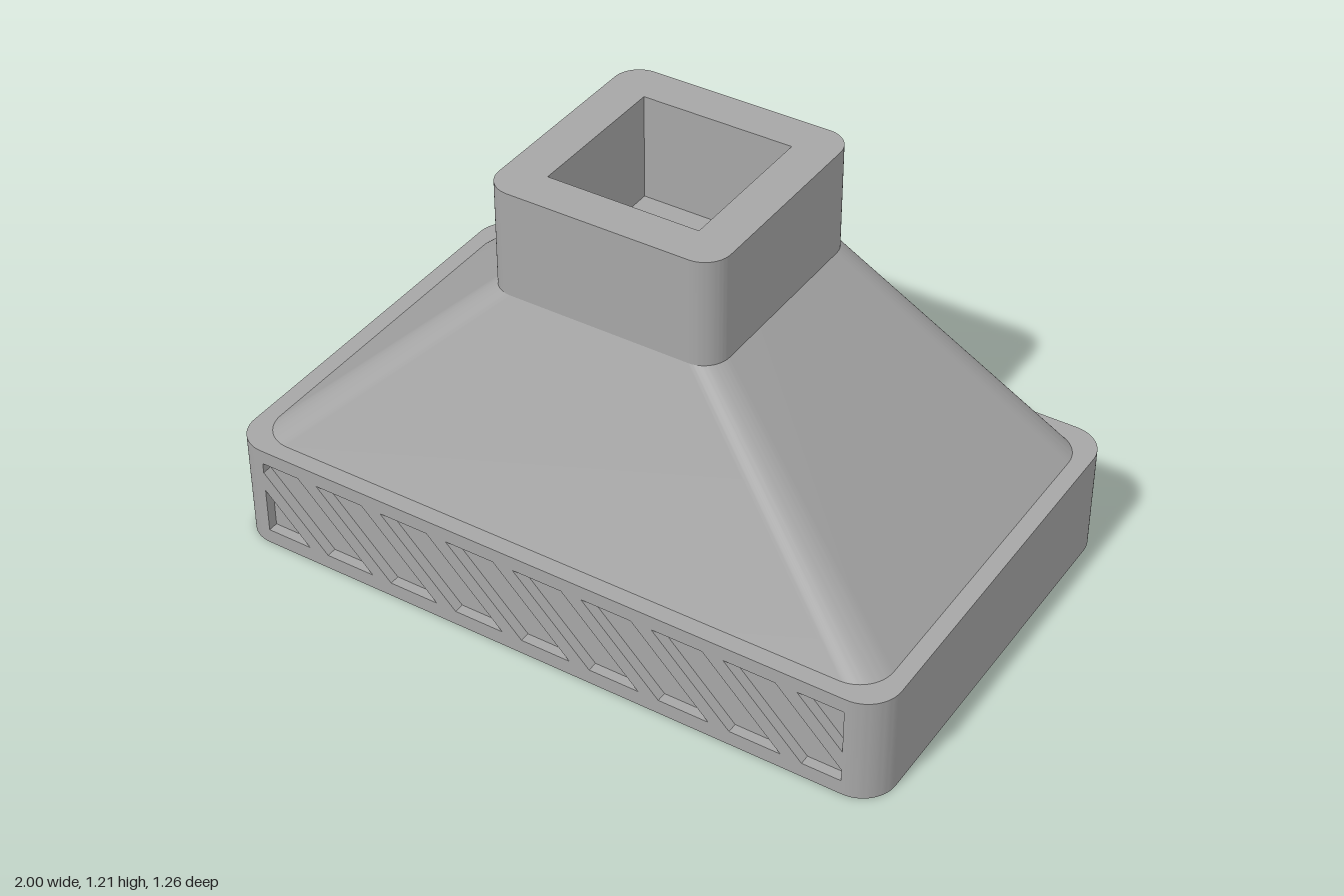
import * as THREE from 'three';
import { toCreasedNormals } from 'three/addons/utils/BufferGeometryUtils.js';

const grey = new THREE.MeshStandardMaterial({ color: 0xa6a6a6 });
grey.name = 'grey';

// Rounded rectangle outline; notch cuts a shallow strip out of the front edge
function roundedRect(hx, hz, r, notch = 0) {
  const s = new THREE.Shape();
  s.moveTo(-hx + r, -hz);
  if (notch) {
    s.lineTo(-hx + r, -hz + notch);
    s.lineTo(hx - r, -hz + notch);
  }
  s.lineTo(hx - r, -hz);
  s.absarc(hx - r, -hz + r, r, -Math.PI / 2, 0);
  s.absarc(hx - r, hz - r, r, 0, Math.PI / 2);
  s.absarc(-hx + r, hz - r, r, Math.PI / 2, Math.PI);
  s.absarc(-hx + r, -hz + r, r, Math.PI, Math.PI * 1.5);
  return s;
}

// Upright prism from a plan outline
function prism(shape, y0, y1) {
  const g = new THREE.ExtrudeGeometry(shape, { depth: y1 - y0, bevelEnabled: false, curveSegments: 10 });
  g.rotateX(-Math.PI / 2).translate(0, y0, 0);
  return toCreasedNormals(g, 0.6);
}

// Sloping skin between two outlines with equal point counts
function loft(lower, y0, upper, y1) {
  const a = lower.getPoints(10), b = upper.getPoints(10), pos = [], idx = [], n = a.length;
  a.forEach((p, i) => pos.push(p.x, y0, -p.y, b[i].x, y1, -b[i].y));
  for (let i = 0; i < n; i++) {
    const p = 2 * i, q = 2 * ((i + 1) % n);
    idx.push(p, q, q + 1, p, q + 1, p + 1);
  }
  const g = new THREE.BufferGeometry();
  g.setAttribute('position', new THREE.Float32BufferAttribute(pos, 3));
  g.setIndex(idx);
  return toCreasedNormals(g, 0.6);
}

// Keep the part of a polygon where side * x <= limit
function clip(points, side, limit) {
  const out = [];
  points.forEach((p, i) => {
    const q = points[(i + 1) % points.length];
    const dp = side * p.x - limit, dq = side * q.x - limit;
    if (dp <= 0) out.push(p);
    if (dp * dq < 0) out.push(p.clone().lerp(q, dp / (dp - dq)));
  });
  return out;
}

export function createModel() {
  const model = new THREE.Group();
  const add = (name, geometry) => {
    const m = new THREE.Mesh(geometry, grey);
    m.name = name;
    model.add(m);
  };
  const baseTop = 0.32, neckY = 0.9, topY = 1.21, depth = 0.03;

  // Base block, set back behind the grille
  add('base', prism(roundedRect(1, 0.63, 0.1, depth), 0, baseTop));

  // Front plate with slanted recesses between narrow slats
  const plate = new THREE.Shape();
  plate.moveTo(-0.9, 0).lineTo(0.9, 0).lineTo(0.9, baseTop).lineTo(-0.9, baseTop).closePath();
  const yLow = 0.045, yHigh = 0.277, run = yHigh - yLow, width = 0.15;
  for (let k = -2; k <= 7; k++) {
    const x = -0.717 + 0.2115 * k;
    let pts = [[x, yHigh], [x + width, yHigh], [x + width + run, yLow], [x + run, yLow]]
      .map(([px, py]) => new THREE.Vector2(px, py));
    pts = clip(clip(pts, 1, 0.897), -1, 0.897);
    if (pts.length > 2) plate.holes.push(new THREE.Path(pts));
  }
  const grille = new THREE.ExtrudeGeometry(plate, { depth, bevelEnabled: false });
  grille.translate(0, 0, 0.63 - depth);
  add('frontGrille', grille);

  // Tapered hood
  add('hood', loft(roundedRect(0.95, 0.58, 0.1), baseTop, roundedRect(0.34, 0.34, 0.075), neckY));

  // Neck with a square opening
  const neck = roundedRect(0.34, 0.34, 0.075), h = 0.222;
  neck.holes.push(new THREE.Path([[-h, -h], [-h, h], [h, h], [h, -h]].map(([x, y]) => new THREE.Vector2(x, y))));
  add('neck', prism(neck, neckY, topY));

  // Floor of the opening
  const floor = new THREE.PlaneGeometry(2 * h, 2 * h);
  floor.rotateX(-Math.PI / 2).translate(0, neckY, 0);
  add('openingFloor', floor);

  return model;
}
